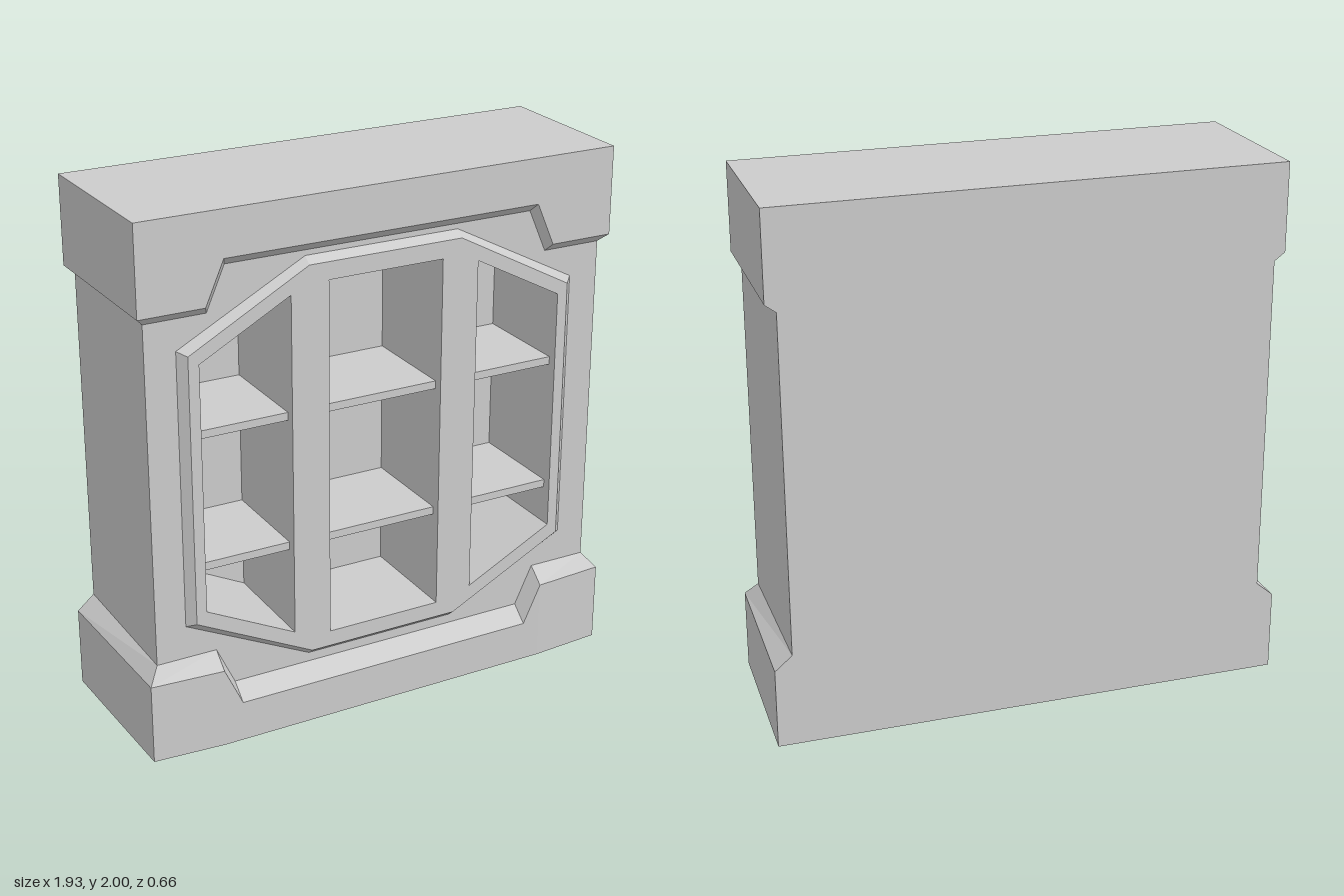
import * as THREE from 'three';

const BACK = -0.33, WALL = 0.265, FACE = 0.295, ALCOVE = -0.13;

export function createModel() {
  const group = new THREE.Group();
  const material = new THREE.MeshStandardMaterial({ color: 0xcccccc, flatShading: true });

  const add = (name, geometry, parent = group) => {
    const mesh = new THREE.Mesh(geometry, material);
    mesh.name = name;
    parent.add(mesh);
    return mesh;
  };
  const part = (name) => {
    const g = new THREE.Group();
    g.name = name;
    group.add(g);
    return g;
  };
  const fromTriangles = (points) => {
    const g = new THREE.BufferGeometry();
    g.setAttribute('position', new THREE.Float32BufferAttribute(points.flat(), 3));
    g.computeVertexNormals();
    return g;
  };
  // Band of quads between two matching paths running left to right
  const strip = (upper, lower, closed = false) => {
    const out = [], n = upper.length;
    for (let i = 0; i < (closed ? n : n - 1); i++) {
      const j = (i + 1) % n;
      out.push(lower[i], lower[j], upper[j], lower[i], upper[j], upper[i]);
    }
    return fromTriangles(out);
  };
  const cap = (path, up) => {
    const out = [];
    for (let i = 1; i < path.length - 1; i++) {
      out.push(path[0], path[up ? i : i + 1], path[up ? i + 1 : i]);
    }
    return fromTriangles(out);
  };
  // Complete a left half path with its mirror image
  const mirror = (half) => [...half, ...half.map(([x, ...r]) => [-x, ...r]).reverse()];
  const atZ = (loop, z) => loop.map(([x, y]) => [x, y, z]);
  const atY = (path, y) => path.map(([x, , z]) => [x, y, z]);
  const flat = (loop, z, holes = []) => {
    const toVectors = (l) => l.map(([x, y]) => new THREE.Vector2(x, y));
    const shape = new THREE.Shape(toVectors(loop));
    shape.holes = holes.map((h) => new THREE.Path(toVectors(h)));
    return new THREE.ShapeGeometry(shape).translate(0, 0, z);
  };

  // Cornice: lower front edge, then the chamfer back to the wall
  const corniceEdge = mirror([[-0.94, 1.67, BACK], [-0.93, 1.67, FACE],
    [-0.685, 1.67, FACE], [-0.615, 1.83, FACE]]);
  const corniceWall = mirror([[-0.9, 1.64, BACK], [-0.9, 1.64, WALL],
    [-0.67, 1.64, WALL], [-0.6, 1.8, WALL]]);
  const corniceTop = atY(corniceEdge, 2);
  const cornice = part('cornice');
  add('corniceFace', strip(corniceTop, corniceEdge), cornice);
  add('corniceChamfer', strip(corniceEdge, corniceWall), cornice);
  add('corniceTop', cap(corniceTop, true), cornice);

  // Plinth: same idea, upside down, with slightly swept-back corners
  const plinthEdge = mirror([[-0.965, 0.305, BACK], [-0.945, 0.305, 0.31],
    [-0.67, 0.305, 0.33], [-0.6, 0.155, 0.33]]);
  const plinthWall = mirror([[-0.9, 0.36, BACK], [-0.9, 0.36, WALL],
    [-0.67, 0.36, WALL], [-0.6, 0.21, WALL]]);
  const plinthFoot = atY(plinthEdge, 0);
  const plinth = part('plinth');
  add('plinthFace', strip(plinthEdge, plinthFoot), plinth);
  add('plinthChamfer', strip(plinthWall, plinthEdge), plinth);
  add('plinthBottom', cap(plinthFoot, false), plinth);

  // Casing: front wall around the frame, side walls, and the whole back
  const octagon = (w, low, lowSide, highSide, high) => [[-0.3, low], [0.3, low],
    [w, lowSide], [w, highSide], [0.3, high], [-0.3, high], [-w, highSide], [-w, lowSide]];
  const frameOuter = octagon(0.785, 0.245, 0.485, 1.525, 1.78);
  const frameInner = octagon(0.755, 0.27, 0.5, 1.51, 1.755);
  const casing = part('casing');
  add('frontWall', flat([[-0.9, 0.18], [0.9, 0.18], [0.9, 1.82], [-0.9, 1.82]], WALL, [frameOuter]), casing);
  for (const s of [-1, 1]) {
    const edge = [[s * 0.9, 0, s * BACK], [s * 0.9, 0, s * WALL]];
    const path = s < 0
      ? [[-0.9, 0, BACK], [-0.9, 0, WALL]]
      : [[0.9, 0, WALL], [0.9, 0, BACK]];
    add(s < 0 ? 'rightWall' : 'leftWall', strip(atY(path, 1.64), atY(path, 0.36)), casing);
  }
  const backHalf = [[-0.965, 0], [-0.965, 0.305], [-0.9, 0.36], [-0.9, 1.64], [-0.94, 1.67], [-0.94, 2]];
  add('backWall', flat(mirror(backHalf), 0).rotateY(Math.PI).translate(0, 0, BACK), casing);

  // Three alcoves, counter-clockwise outlines
  const leftAlcove = [[0.37, 0.365], [0.715, 0.54], [0.715, 1.475], [0.37, 1.66]];
  const alcoves = {
    left: leftAlcove,
    centre: [[-0.225, 0.33], [0.225, 0.33], [0.225, 1.69], [-0.225, 1.69]],
    right: leftAlcove.map(([x, y]) => [-x, y]).reverse(),
  };

  // Raised octagonal frame
  const frame = part('frame');
  add('frameFace', flat(frameInner, FACE, Object.values(alcoves)), frame);
  add('frameChamfer', strip(atZ(frameInner, FACE), atZ(frameOuter, WALL), true), frame);

  // Alcove linings and shelves
  const shelfFront = 0.26;
  for (const [side, loop] of Object.entries(alcoves)) {
    const alcove = part(side + 'Alcove');
    add('lining', strip(atZ(loop, ALCOVE), atZ(loop, FACE), true), alcove);
    add('alcoveBack', flat(loop, ALCOVE), alcove);
    const xs = loop.map(([x]) => x);
    const x0 = Math.min(...xs), x1 = Math.max(...xs);
    for (const y of [0.7, 1.203]) {
      add('shelf', new THREE.BoxGeometry(x1 - x0, 0.03, shelfFront - ALCOVE), alcove)
        .position.set((x0 + x1) / 2, y, (shelfFront + ALCOVE) / 2);
    }
  }
  return group;
}
